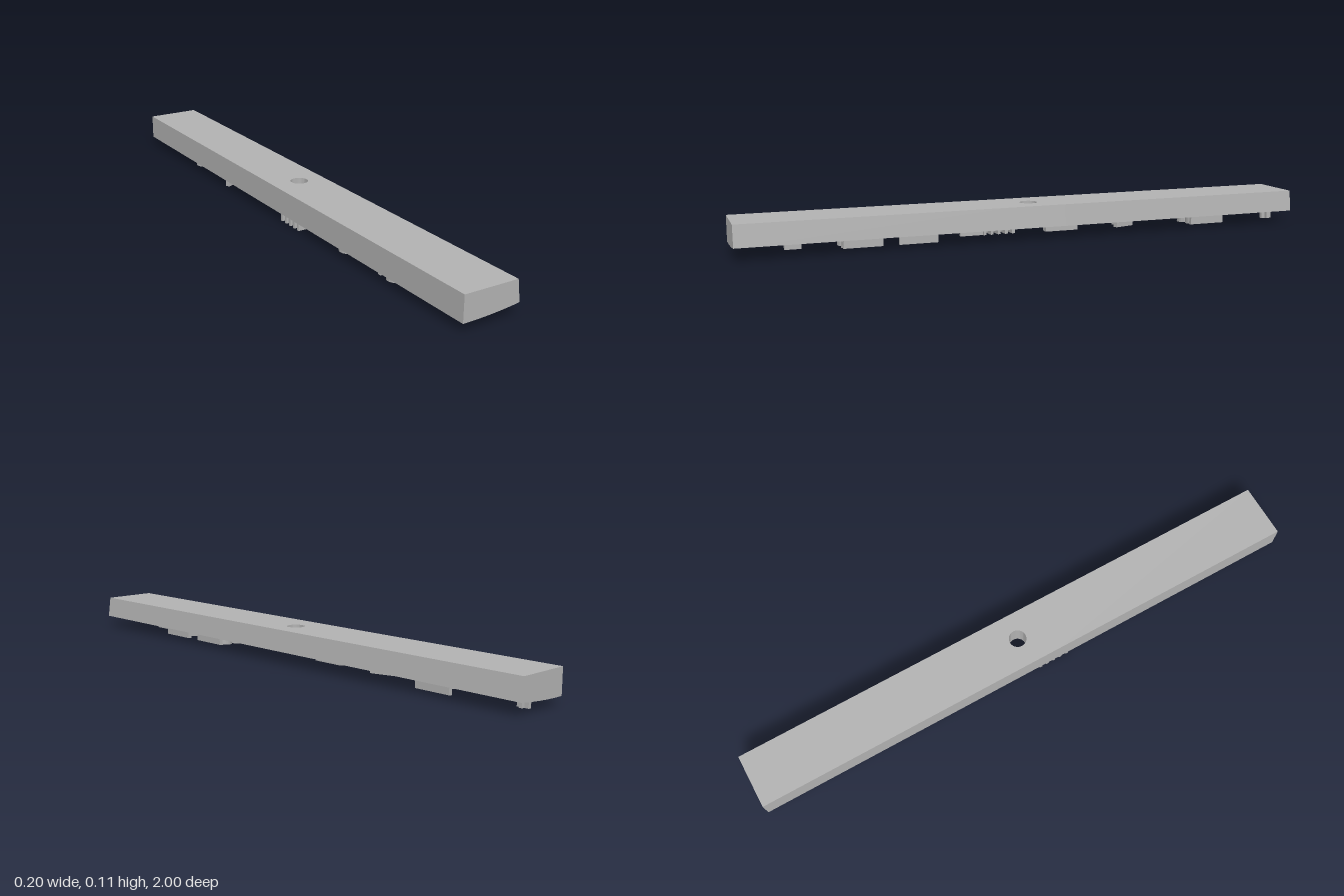
import * as THREE from 'three';
import { toCreasedNormals } from 'three/addons/utils/BufferGeometryUtils.js';

const TOP = 0.115, HALF = 0.1, SEAM = 0.1, RELIEF = 0.028;
// Gently curved underside height across the width
const under = (x) => 0.028 + 0.014 * ((x + HALF) / (2 * HALF)) ** 2;

// Extrude a plan outline upwards (y 0..1), then move each vertex by a rule
function planSolid(shape, rule) {
  const geo = new THREE.ExtrudeGeometry(shape, { depth: 1, bevelEnabled: false, curveSegments: 28 });
  geo.rotateX(-Math.PI / 2);
  const p = geo.attributes.position;
  for (let i = 0; i < p.count; i++) {
    const [x, y] = rule(p.getX(i), p.getY(i));
    p.setXY(i, x, y);
  }
  return geo;
}

// Remove hidden triangles lying on the joints between beam sections
function dropSeams(geo) {
  const g = geo.index ? geo.toNonIndexed() : geo;
  const a = g.attributes.position.array, kept = [];
  for (let i = 0; i < a.length; i += 9) {
    const onSeam = [SEAM, -SEAM].some((s) => [2, 5, 8].every((k) => Math.abs(a[i + k] - s) < 1e-5));
    if (!onSeam) for (let k = 0; k < 9; k++) kept.push(a[i + k]);
  }
  const out = new THREE.BufferGeometry();
  out.setAttribute('position', new THREE.Float32BufferAttribute(kept, 3));
  return toCreasedNormals(out, 0.5);
}

// Outline through corner points, each edge cut into n pieces
function outline(corners, n) {
  const pts = [];
  corners.forEach((c, i) => {
    const d = corners[(i + 1) % corners.length];
    for (let k = 0; k < n; k++) pts.push(c.clone().lerp(d, k / n));
  });
  return new THREE.Shape(pts);
}

function circlePath(Type, x, y, r) {
  return new Type().absarc(x, y, r, 0, Math.PI * 2, false);
}

export function createModel() {
  const group = new THREE.Group();
  const grey = new THREE.MeshStandardMaterial({ color: 0xb2b2b2 });
  grey.name = 'plain grey';
  const add = (name, geo) => {
    const mesh = new THREE.Mesh(geo, grey);
    mesh.name = name;
    group.add(mesh);
  };
  const V = (x, y) => new THREE.Vector2(x, y);

  // Beam ends: cross-section swept along z
  const section = [V(0.09, TOP), V(-HALF, TOP)];
  for (let i = 0; i <= 10; i++) {
    const x = -HALF + 0.02 * i;
    section.push(V(x, under(x)));
  }
  for (const [name, z] of [['frontBeam', SEAM], ['backBeam', -1]]) {
    const geo = new THREE.ExtrudeGeometry(new THREE.Shape(section), { depth: 1 - SEAM, bevelEnabled: false });
    geo.translate(0, 0, z);
    add(name, dropSeams(geo));
  }

  // Beam middle with the round through hole
  const square = outline([V(-HALF, -SEAM), V(HALF, -SEAM), V(HALF, SEAM), V(-HALF, SEAM)], 10);
  square.holes.push(circlePath(THREE.Path, 0, 0, 0.03));
  add('middleBeam', dropSeams(planSolid(square, (x, t) => [
    x > HALF - 1e-4 ? x - 0.01 * t : x,
    THREE.MathUtils.lerp(under(x), TOP, t),
  ])));

  // Raised parts below follow the curved underside
  const raised = (name, shape) => add(name, toCreasedNormals(
    planSolid(shape, (x, t) => [x, under(x) - RELIEF + t * (RELIEF + 0.002)]), 0.6));

  // Straight ribs: x1, z1, x2, z2, width
  const ribs = [
    [0.065, -0.6, 0.065, -0.73, 0.014],
    [-0.015, -0.34, -0.042, -0.415, 0.016],
    [-0.04, -0.385, -0.088, -0.365, 0.014],
    [-0.03, -0.075, -0.03, -0.195, 0.014],
    [-0.03, -0.085, -0.06, -0.085, 0.014],
    [-0.055, 0.15, -0.055, 0.23, 0.014],
    [0.054, 0.34, 0.054, 0.47, 0.014],
    [0.054, 0.525, 0.054, 0.655, 0.014],
    [0.03, 0.575, -0.07, 0.575, 0.014],
    [-0.03, 0.775, -0.03, 0.83, 0.014],
    [-0.03, 0.785, -0.06, 0.785, 0.014],
    [0.03, -0.95, -0.01, -0.95, 0.012],
    [0.012, -0.93, 0.012, -0.97, 0.012],
  ];
  // Row of short ribs beside the hole
  for (let i = 0; i < 5; i++) ribs.push([-0.04, 0.04 + i * 0.026, -0.095, 0.04 + i * 0.026, 0.01]);
  for (const [x1, z1, x2, z2, w] of ribs) {
    const a = V(x1, -z1), b = V(x2, -z2);
    const side = b.clone().sub(a).normalize().multiplyScalar(w / 2);
    side.set(-side.y, side.x);
    raised('rib', outline([a.clone().sub(side), b.clone().sub(side), b.clone().add(side), a.clone().add(side)], 4));
  }

  // Pairs of hollow round collars
  for (const z of [-0.64, 0.37, 0.625]) {
    for (const x of [0.018, -0.045]) {
      const ring = circlePath(THREE.Shape, x, -z, 0.03);
      ring.holes.push(circlePath(THREE.Path, x, -z, 0.02));
      raised('collar', ring);
    }
  }
  return group;
}
